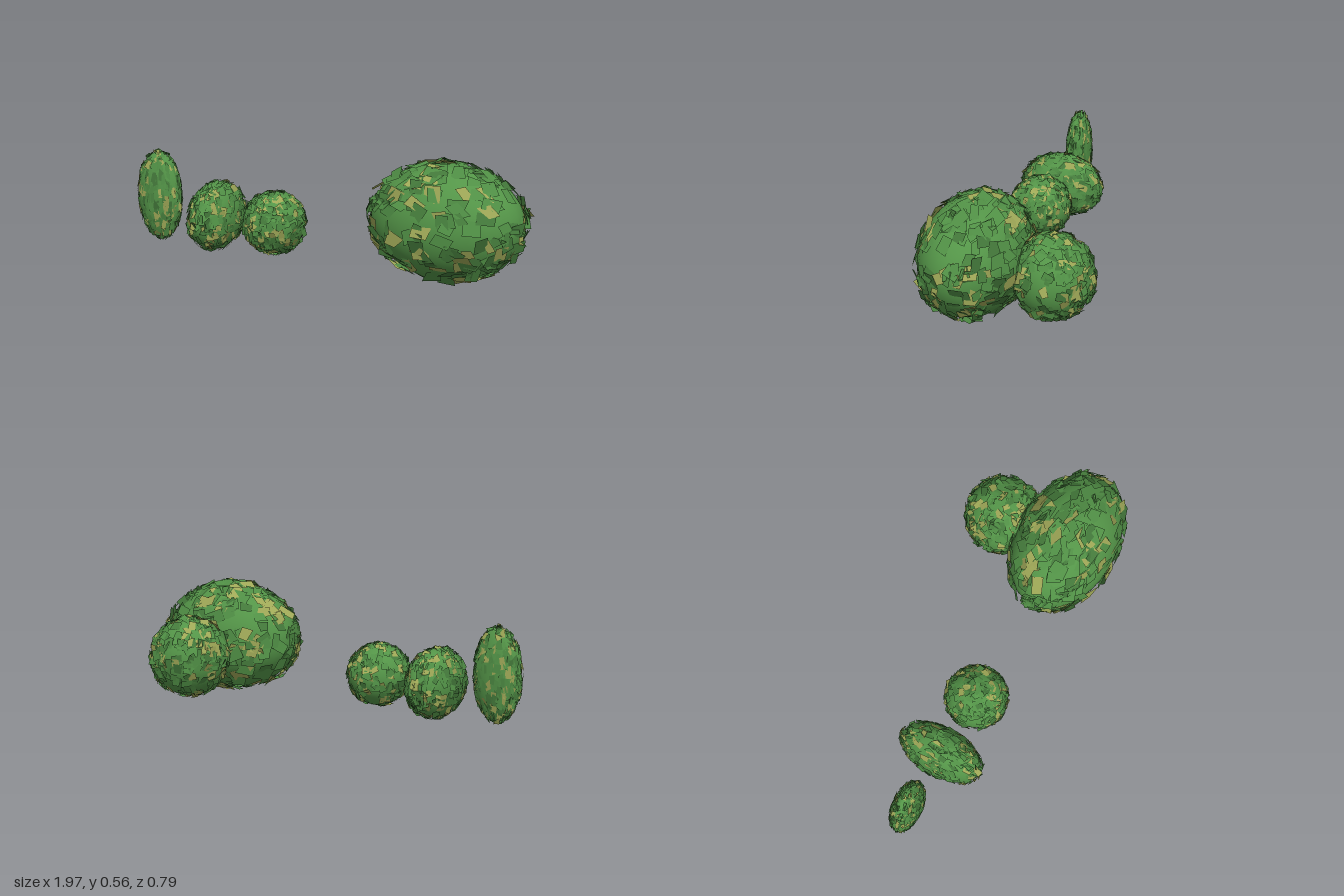
import * as THREE from 'three';

// name, centre, core radii
const BUSHES = [
  ['largeBush', [0.595, 0.29, 0.135], [0.352, 0.255, 0.236]],
  ['rearBush', [0.593, 0.23, -0.21], [0.182, 0.185, 0.178]],
  ['roundBush', [-0.26, 0.185, 0.13], [0.143, 0.143, 0.143]],
  ['deepBush', [-0.57, 0.182, 0.122], [0.108, 0.157, 0.2]],
  ['tallBush', [-0.877, 0.253, 0.128], [0.113, 0.21, 0.06]],
];

const LEAF_COUNT = 420;

function seeded(seed) {
  let s = seed;
  return () => (s = (s * 16807) % 2147483647) / 2147483647;
}

// Uneven four-cornered leaves lying on a unit sphere, each slightly tilted
function leafGeometry(count, rand) {
  const positions = [], index = [];
  const leaf = new THREE.Object3D();
  const corner = new THREE.Vector3();
  const spread = (amount) => (rand() - 0.5) * 2 * amount;
  for (let i = 0; i < count; i++) {
    const y = spread(1), angle = rand() * Math.PI * 2, r = Math.sqrt(1 - y * y);
    const out = new THREE.Vector3(r * Math.cos(angle), y, r * Math.sin(angle));
    leaf.position.set(0, 0, 0);
    leaf.lookAt(out);
    leaf.position.copy(out).multiplyScalar(1.01 + rand() * 0.035);
    leaf.rotateZ(spread(0.5));
    leaf.rotateX(spread(0.35));
    leaf.rotateY(spread(0.35));
    leaf.updateMatrix();
    const w = 0.07 + rand() * 0.06, h = 0.08 + rand() * 0.06;
    for (const [sx, sy] of [[-1, -1], [1, -1], [1, 1], [-1, 1]]) {
      corner.set(sx * w + spread(0.035), sy * h + spread(0.035), 0).applyMatrix4(leaf.matrix);
      positions.push(corner.x, corner.y, corner.z);
    }
    const b = i * 4;
    index.push(b, b + 1, b + 2, b, b + 2, b + 3);
  }
  const geometry = new THREE.BufferGeometry();
  geometry.setAttribute('position', new THREE.Float32BufferAttribute(positions, 3));
  geometry.setIndex(index);
  geometry.computeVertexNormals();
  return geometry;
}

export function createModel() {
  const model = new THREE.Group();
  model.name = 'bushes';

  const coreMaterial = new THREE.MeshStandardMaterial({ color: 0x549548 });
  const leafKinds = [
    ['greenLeaves', 0x508f45, 0.62],
    ['darkLeaves', 0x43783a, 0.16],
    ['dryLeaves', 0x9fa857, 0.22],
  ].map(([name, color, share]) => ({
    name, share,
    material: new THREE.MeshStandardMaterial({ color, side: THREE.DoubleSide }),
  }));
  const coreGeometry = new THREE.SphereGeometry(1, 32, 24);

  BUSHES.forEach(([name, centre, radii], i) => {
    const bush = new THREE.Group();
    bush.name = name;
    bush.position.set(...centre);
    bush.scale.set(...radii);

    // Smooth inner body
    const core = new THREE.Mesh(coreGeometry, coreMaterial);
    core.name = 'core';
    bush.add(core);

    // Leaf scatter, one mesh per colour
    const rand = seeded(7919 * (i + 1));
    for (const { name: leafName, share, material } of leafKinds) {
      const leaves = new THREE.Mesh(leafGeometry(Math.round(LEAF_COUNT * share), rand), material);
      leaves.name = leafName;
      bush.add(leaves);
    }
    model.add(bush);
  });
  return model;
}
